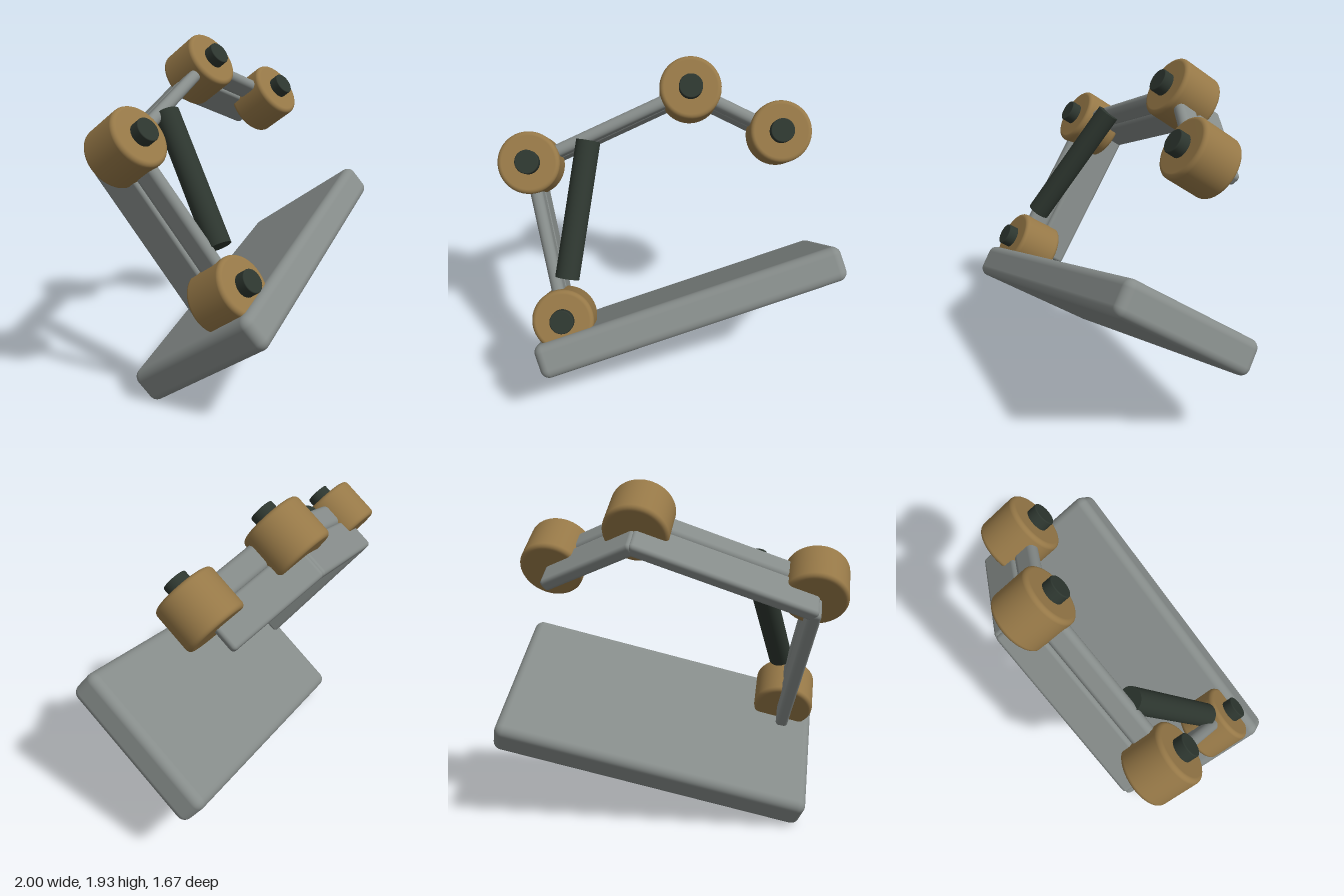
import * as THREE from 'three';
import { RoundedBoxGeometry } from 'three/addons/geometries/RoundedBoxGeometry.js';

const material = (name, color) => {
  const m = new THREE.MeshStandardMaterial({ color });
  m.name = name;
  return m;
};

// Cylinder along z with softly rounded rims
function roundedDrum(radius, half, r, sides = 48) {
  const pts = [new THREE.Vector2(0, -half)];
  for (const [cy, start] of [[-half + r, -Math.PI / 2], [half - r, 0]]) {
    for (let i = 0; i <= 6; i++) {
      const a = start + (i / 6) * Math.PI / 2;
      pts.push(new THREE.Vector2(radius - r + r * Math.cos(a), cy + r * Math.sin(a)));
    }
  }
  pts.push(new THREE.Vector2(0, half));
  return new THREE.LatheGeometry(pts, sides).rotateX(Math.PI / 2);
}

export function createModel() {
  const grey = material('grey metal', 0x868c8a);
  const ochre = material('ochre joint', 0x967847);
  const dark = material('dark green', 0x2d362f);

  const model = new THREE.Group();
  model.name = 'roboticArm';
  const arm = new THREE.Group();
  arm.name = 'tiltedAssembly';
  arm.position.set(0.105, 0.53, 0);
  arm.rotation.set(-0.637, 0.342, 0.557);
  model.add(arm);

  const add = (name, geometry, mat, x, y, z, angle = 0) => {
    const mesh = new THREE.Mesh(geometry, mat);
    mesh.name = name;
    mesh.position.set(x, y, z);
    mesh.rotation.z = angle;
    arm.add(mesh);
  };

  // Base slab
  add('base', new RoundedBoxGeometry(1.8, 0.2, 0.9, 5, 0.05), grey, 0, 0, 0);

  // Joints with a protruding pin on the front face
  const armZ = 0.285;
  const joints = [[-0.69, 0.183], [-0.586, 1.075], [0.395, 1.183], [0.795, 0.796]];
  const drum = roundedDrum(0.173, 0.128, 0.025);
  const pin = roundedDrum(0.066, 0.04, 0.006, 32);
  joints.forEach(([x, y], i) => {
    add(`joint${i + 1}`, drum, ochre, x, y, armZ);
    add(`pin${i + 1}`, pin, dark, x, y, armZ + 0.147);
  });

  // Links: a deep rear plate and a round-edged front bar between each pair of joints
  for (let i = 0; i < 3; i++) {
    const [ax, ay] = joints[i], [bx, by] = joints[i + 1];
    const length = Math.hypot(bx - ax, by - ay);
    const angle = Math.atan2(by - ay, bx - ax);
    const x = (ax + bx) / 2, y = (ay + by) / 2;
    add(`linkPlate${i + 1}`, new RoundedBoxGeometry(length + 0.03, 0.07, 0.21, 4, 0.022),
      grey, x, y, armZ - 0.152, angle);
    add(`linkBar${i + 1}`, new RoundedBoxGeometry(length, 0.07, 0.14, 5, 0.034),
      grey, x, y, armZ + 0.018, angle);
  }

  // Piston bracing the lower and upper links
  const [px, py, qx, qy] = [-0.596, 0.398, -0.237, 1.088];
  add('piston', new THREE.CylinderGeometry(0.068, 0.068, Math.hypot(qx - px, qy - py), 32), dark,
    (px + qx) / 2, (py + qy) / 2, 0.36, Math.atan2(qy - py, qx - px) - Math.PI / 2);

  return model;
}
